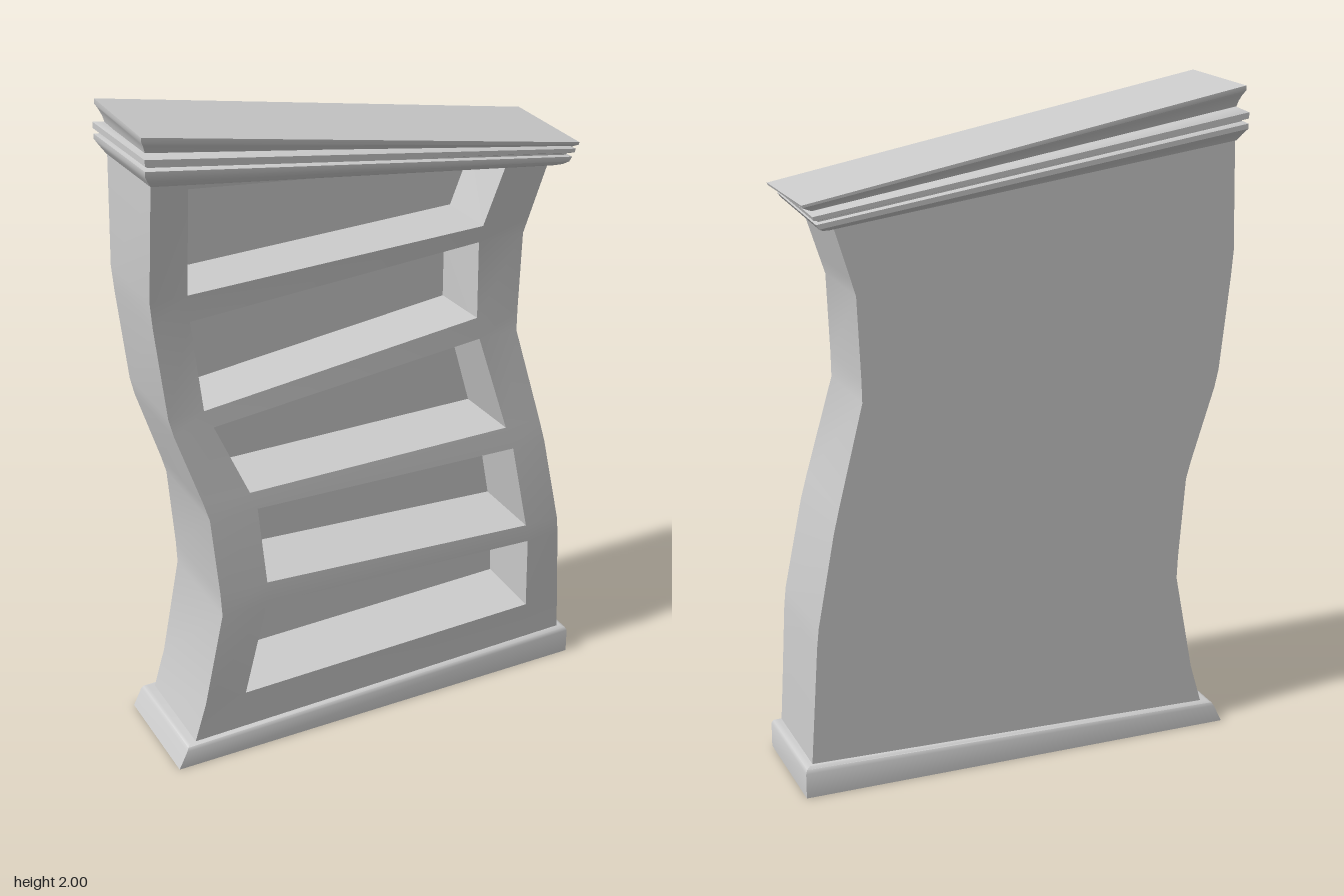
import * as THREE from 'three';
import { toCreasedNormals } from 'three/addons/utils/BufferGeometryUtils.js';

const material = new THREE.MeshStandardMaterial({ color: 0xcccccc });

// Collects quads (corners counter-clockwise) into one mesh
function quadMesh(name, quads, crease) {
  const pos = [];
  for (const [a, b, c, d] of quads) pos.push(...a, ...b, ...c, ...a, ...c, ...d);
  const geo = new THREE.BufferGeometry();
  geo.setAttribute('position', new THREE.Float32BufferAttribute(pos, 3));
  const mesh = new THREE.Mesh(toCreasedNormals(geo, crease), material);
  mesh.name = name;
  return mesh;
}

// Linear interpolation through [y, value] pairs
function lookup(table, y) {
  let i = 1;
  while (i < table.length - 1 && y > table[i][0]) i++;
  const [y0, v0] = table[i - 1], [y1, v1] = table[i];
  return v0 + (v1 - v0) * (y - y0) / (y1 - y0);
}

// Rectangular rings [xLeft, yLeft, xRight, yRight, zFront, zBack] joined bottom to top
function ringLoft(name, rings, tilt) {
  const loops = rings.map(([xl, yl, xr, yr, zf, zb]) => [
    [xl, yl + zf * tilt, zf], [xr, yr + zf * tilt, zf],
    [xr, yr + zb * tilt, zb], [xl, yl + zb * tilt, zb],
  ]);
  const quads = [[...loops[0]].reverse(), loops[loops.length - 1]];
  for (let j = 1; j < loops.length; j++) {
    for (let i = 0; i < 4; i++) {
      const k = (i + 1) % 4;
      quads.push([loops[j - 1][i], loops[j - 1][k], loops[j][k], loops[j][i]]);
    }
  }
  return quadMesh(name, quads, 0.7);
}

// Wavy outline of the case: x by height for each side, front z by height
const leftSide = [[0.06, -0.615], [0.17, -0.58], [0.51, -0.515], [0.83, -0.54], [1.13, -0.635], [1.5, -0.675], [1.88, -0.665]];
const rightSide = [[0.06, 0.662], [0.5, 0.632], [0.82, 0.572], [1.18, 0.482], [1.47, 0.487], [1.71, 0.56]];
const frontDepth = [[0.06, 0.165], [0.2, 0.168], [0.5, 0.18], [0.82, 0.165], [1.15, 0.13], [1.48, 0.125], [1.7, 0.142], [1.88, 0.155]];
const BACK = -0.155, RECESS = -0.055;

// Crooked openings, bottom to top: corners (bl, br, tr, tl) and [right, top, bottom] shift at the recess back
const openings = [
  { c: [[-0.445, 0.195], [0.535, 0.215], [0.525, 0.46], [-0.375, 0.5]], shift: [0, 0, 0.006] },
  { c: [[-0.37, 0.57], [0.515, 0.52], [0.465, 0.8], [-0.39, 0.82]], shift: [0, 0, 0] },
  { c: [[-0.41, 0.875], [0.44, 0.875], [0.355, 1.18], [-0.505, 1.1]], shift: [-0.008, 0, 0] },
  { c: [[-0.53, 1.155], [0.345, 1.25], [0.345, 1.49], [-0.56, 1.435]], shift: [-0.012, -0.01, 0] },
  { c: [[-0.565, 1.515], [0.355, 1.54], [0.42, 1.73], [-0.56, 1.83]], shift: [-0.004, -0.027, 0] },
];

function makeCase() {
  const front = ([x, y]) => [x, y, lookup(frontDepth, y)];
  const back = ([x, y]) => [x, y, BACK];

  // Each row: outer left, inner left, inner right, outer right
  const row = (l, r) => [[lookup(leftSide, l[1]), l[1]], l, r, [lookup(rightSide, r[1]), r[1]]];
  const rows = [row([-0.46, 0.06], [0.54, 0.075])];
  for (const { c } of openings) rows.push(row(c[0], c[1]), row(c[3], c[2]));
  rows.push(row([-0.56, 1.865], [0.44, 1.735]));
  rows[rows.length - 1][3] = [0.563, 1.71];

  const quads = [];
  for (let j = 1; j < rows.length; j++) {
    const lo = rows[j - 1], hi = rows[j];
    // Stiles, and rails between the openings
    for (let i = 0; i < 3; i++) {
      if (i === 1 && j % 2 === 0) continue;
      quads.push([lo[i], lo[i + 1], hi[i + 1], hi[i]].map(front));
    }
    // Sides and back panel
    quads.push([front(lo[3]), back(lo[3]), back(hi[3]), front(hi[3])]);
    quads.push([back(lo[0]), front(lo[0]), front(hi[0]), back(hi[0])]);
    quads.push([back(lo[3]), back(lo[0]), back(hi[0]), back(hi[3])]);
  }
  return quadMesh('case', quads, 0.6);
}

// Inside walls and back of one opening
function makeShelf({ c, shift: [right, top, bottom] }) {
  const outer = c.map(([x, y]) => [x, y, lookup(frontDepth, y)]);
  const inner = c.map(([x, y], i) => [
    x + (i === 1 || i === 2 ? right : 0), y + (i > 1 ? top : bottom), RECESS,
  ]);
  const quads = [inner];
  for (let i = 0; i < 4; i++) {
    const k = (i + 1) % 4;
    quads.push([outer[i], outer[k], inner[k], inner[i]]);
  }
  return quadMesh('shelfRecess', quads, 0.3);
}

export function createModel() {
  const group = new THREE.Group();
  group.name = 'crookedBookcase';
  group.add(makeCase());
  for (const opening of openings) group.add(makeShelf(opening));

  // Base with a softened upper edge
  group.add(ringLoft('plinth', [
    [-0.675, 0, 0.687, 0, 0.184, -0.18],
    [-0.648, 0.056, 0.687, 0.078, 0.184, -0.18],
    [-0.642, 0.066, 0.682, 0.089, 0.179, -0.175],
    [-0.632, 0.07, 0.67, 0.095, 0.168, -0.165],
  ], 0));

  // Sloping crown: two stepped bands below the flared top board
  group.add(ringLoft('crownMoulding', [
    [-0.667, 1.85, 0.565, 1.69, 0.158, -0.16],
    [-0.68, 1.87, 0.588, 1.693, 0.17, -0.172],
    [-0.69, 1.888, 0.603, 1.702, 0.182, -0.188],
    [-0.69, 1.903, 0.612, 1.715, 0.182, -0.188],
    [-0.678, 1.907, 0.6, 1.718, 0.165, -0.17],
    [-0.678, 1.912, 0.605, 1.722, 0.165, -0.17],
    [-0.69, 1.918, 0.618, 1.727, 0.184, -0.19],
    [-0.69, 1.936, 0.622, 1.738, 0.184, -0.19],
    [-0.675, 1.942, 0.61, 1.742, 0.15, -0.15],
  ], 0.05));
  group.add(ringLoft('topBoard', [
    [-0.672, 1.938, 0.61, 1.735, 0.145, -0.145],
    [-0.676, 1.955, 0.622, 1.74, 0.15, -0.15],
    [-0.684, 1.975, 0.634, 1.746, 0.16, -0.16],
    [-0.69, 1.985, 0.642, 1.75, 0.167, -0.167],
    [-0.69, 2, 0.645, 1.757, 0.167, -0.167],
  ], 0));
  return group;
}
